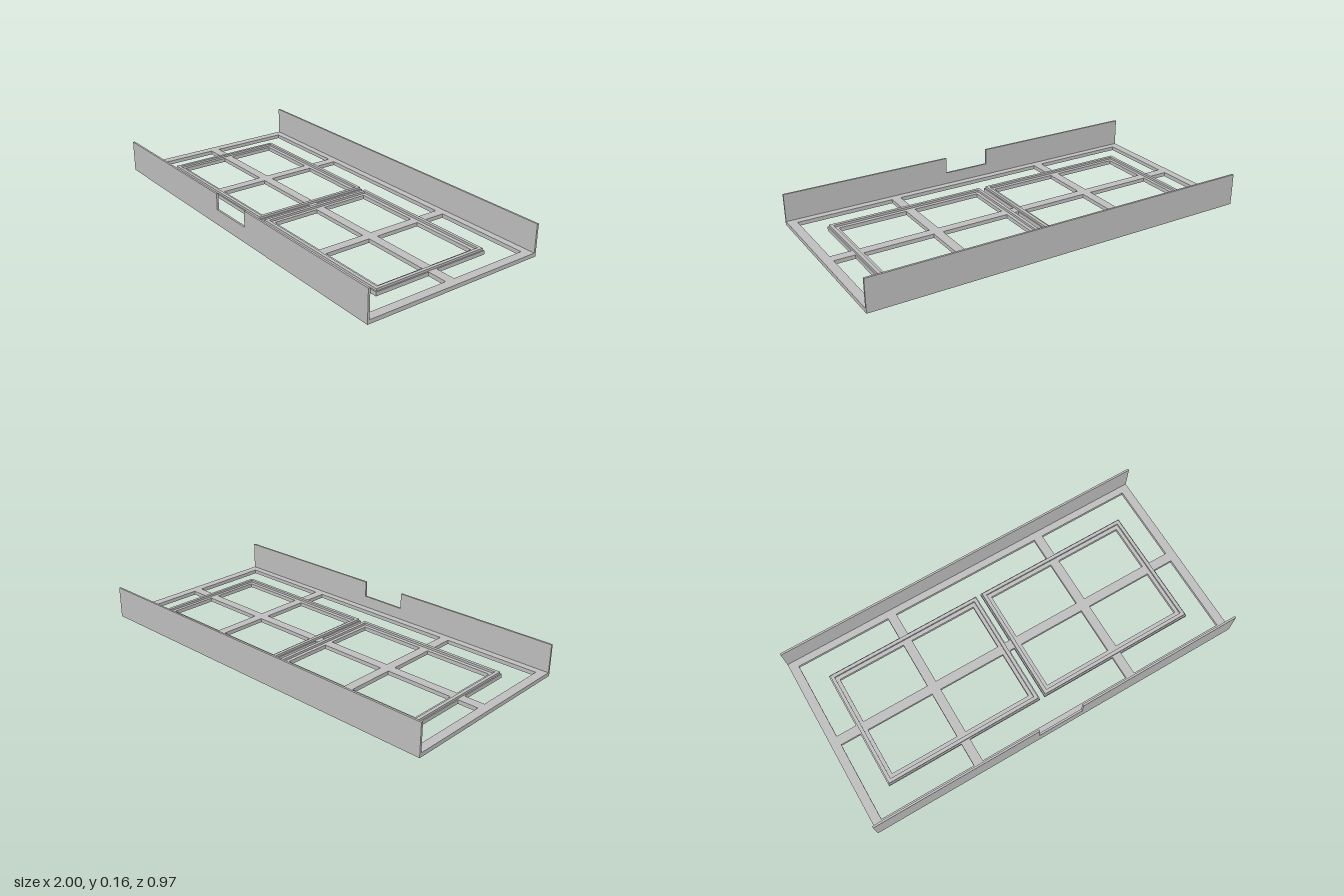
import * as THREE from 'three';

const grey = new THREE.MeshStandardMaterial({ color: 0xbebebe });
grey.name = 'light grey';

const BASE = 0.02; // thickness of the flat lattice

function addMesh(parent, name, geometry, x = 0, y = 0, z = 0) {
  const mesh = new THREE.Mesh(geometry, grey);
  mesh.name = name;
  mesh.position.set(x, y, z);
  parent.add(mesh);
  return mesh;
}

// Flat rectangular ring lying in XZ, rising from y = 0; sizes are half extents
function ring(outX, outZ, inX, inZ, height) {
  const corners = (x, z) => [[-x, -z], [x, -z], [x, z], [-x, z]].map((p) => new THREE.Vector2(...p));
  const shape = new THREE.Shape(corners(outX, outZ));
  shape.holes.push(new THREE.Path(corners(inX, inZ).reverse()));
  return new THREE.ExtrudeGeometry(shape, { depth: height, bevelEnabled: false }).rotateX(-Math.PI / 2);
}

// Upright side wall, with an optional notch cut in the top edge
function wall(notched) {
  const h = 0.162;
  const points = [[-1, 0], [1, 0], [1, h]];
  if (notched) points.push([0.12, h], [0.12, 0.08], [-0.12, 0.08], [-0.12, h]);
  points.push([-1, h]);
  const shape = new THREE.Shape(points.map((p) => new THREE.Vector2(...p)));
  return new THREE.ExtrudeGeometry(shape, { depth: 0.01, bevelEnabled: false });
}

export function createModel() {
  const model = new THREE.Group();
  model.name = 'tray';

  // Outer frame and long walls
  addMesh(model, 'outerFrame', ring(1, 0.483, 0.955, 0.437, BASE));
  addMesh(model, 'frontWall', wall(true), 0, 0, 0.473);
  addMesh(model, 'backWall', wall(false), 0, 0, -0.483);

  // Lengthwise rib
  addMesh(model, 'longRib', new THREE.BoxGeometry(1.92, BASE, 0.048), 0, BASE / 2, 0);

  // Each half has a cross rib and a rectangular seat with a raised lip
  for (const [side, label] of [[-1, 'right'], [1, 'left']]) {
    const half = new THREE.Group();
    half.name = label + 'Half';
    half.position.x = side * 0.432;
    addMesh(half, 'crossRib', new THREE.BoxGeometry(0.048, BASE, 0.88), 0, BASE / 2, 0);
    addMesh(half, 'seatFrame', ring(0.419, 0.315, 0.378, 0.272, BASE));
    addMesh(half, 'seatLip', ring(0.413, 0.309, 0.396, 0.292, 0.011), 0, BASE, 0);
    model.add(half);
  }
  return model;
}
